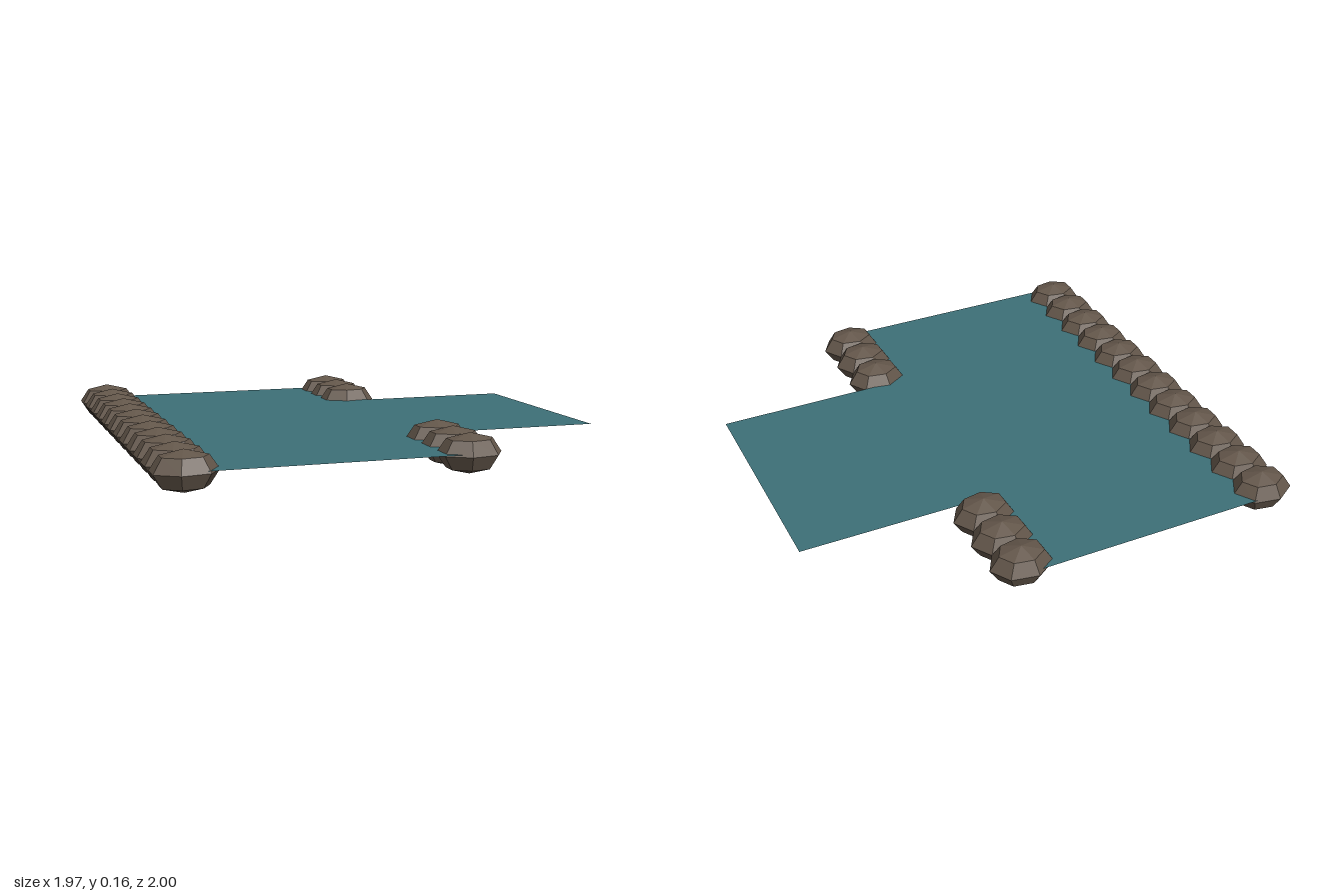
import * as THREE from 'three';

const ROCKS = 12, STEP = 0.1632, MID_Y = 0.08;
const LEFT_BANK = -0.866, RIGHT_BANK = 0.239;

export function createModel() {
  const model = new THREE.Group();
  const rockMaterial = new THREE.MeshStandardMaterial({ color: 0x63564a, flatShading: true });
  const waterMaterial = new THREE.MeshStandardMaterial({ color: 0x3d7078, side: THREE.DoubleSide });

  // One faceted boulder: seven sides, flattened, its point towards +x
  const rockGeometry = new THREE.SphereGeometry(1, 7, 4);
  rockGeometry.rotateY(Math.PI);
  rockGeometry.scale(0.1326, 0.08, 0.1055);

  const addBank = (name, x, indices) => {
    const bank = new THREE.Group();
    bank.name = name;
    for (const i of indices) {
      const rock = new THREE.Mesh(rockGeometry, rockMaterial);
      rock.name = 'rock';
      rock.position.set(x, MID_Y, (i - (ROCKS - 1) / 2) * STEP);
      bank.add(rock);
    }
    model.add(bank);
  };

  // Full bank on one side; the other has a gap for the side channel
  addBank('fullBank', LEFT_BANK, [...Array(ROCKS).keys()]);
  addBank('backBank', RIGHT_BANK, [0, 1, 2]);
  addBank('frontBank', RIGHT_BANK, [9, 10, 11]);

  // T-shaped water surface: main river plus the side channel
  const outline = [
    [LEFT_BANK, -0.979], [RIGHT_BANK, -0.979], [RIGHT_BANK, -0.487], [0.985, -0.487],
    [0.985, 0.487], [RIGHT_BANK, 0.487], [RIGHT_BANK, 0.979], [LEFT_BANK, 0.979],
  ].map(([x, y]) => new THREE.Vector2(x, y));
  const water = new THREE.Mesh(new THREE.ShapeGeometry(new THREE.Shape(outline)), waterMaterial);
  water.name = 'waterSurface';
  water.rotation.x = -Math.PI / 2;
  water.position.y = 0.089;
  model.add(water);

  return model;
}
